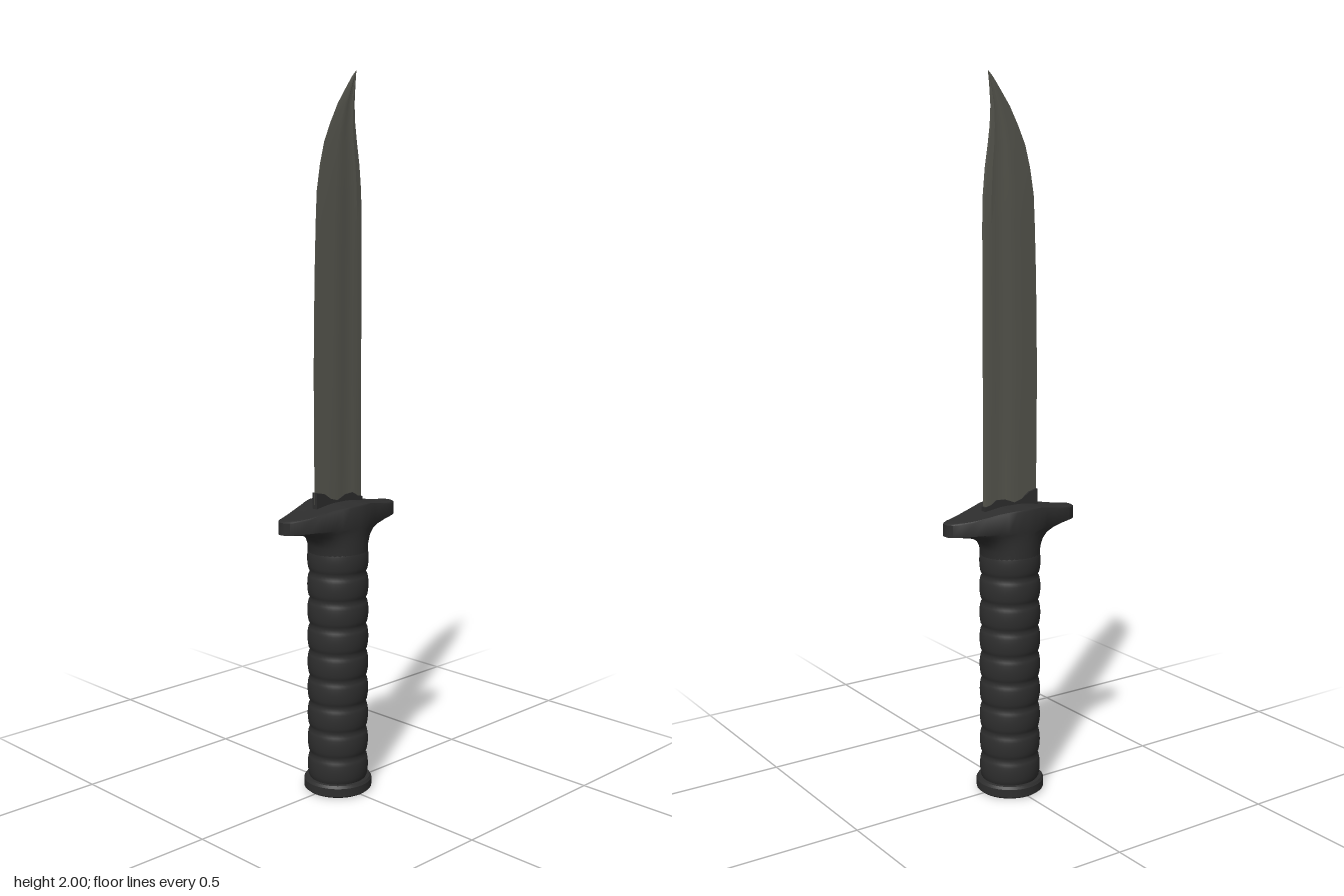
import * as THREE from 'three';
import { toCreasedNormals } from 'three/addons/utils/BufferGeometryUtils.js';

// Joins closed rings (ordered +x, +z, -x, -z, going upward) into a surface.
function loft(rings, crease) {
  const n = rings[0].length, index = [];
  for (let r = 0; r < rings.length - 1; r++) {
    for (let i = 0; i < n; i++) {
      const a = r * n + i, b = r * n + (i + 1) % n;
      index.push(a, a + n, b, b, a + n, b + n);
    }
  }
  const geo = new THREE.BufferGeometry();
  geo.setAttribute('position', new THREE.Float32BufferAttribute(rings.flat(2), 3));
  geo.setIndex(index);
  return toCreasedNormals(geo, crease);
}

// Smoothly ribbed grip, turned around y.
function gripGeometry() {
  const pts = [], ribs = 9, y0 = 0.03, y1 = 0.71;
  for (let i = 0; i <= ribs * 8; i++) {
    const t = i / (ribs * 8);
    const r = 0.078 + 0.008 * Math.sqrt(Math.abs(Math.sin(t * ribs * Math.PI)));
    pts.push(new THREE.Vector2(r, y0 + (y1 - y0) * t));
  }
  return new THREE.LatheGeometry(pts, 40);
}

function pommelGeometry() {
  const pts = [[0, 0], [0.09, 0], [0.096, 0.005], [0.096, 0.028], [0.091, 0.035], [0, 0.035]];
  const geo = new THREE.LatheGeometry(pts.map(p => new THREE.Vector2(...p)), 40);
  return toCreasedNormals(geo, 0.6);
}

// Guard: a round neck flaring into a long lozenge with a gently domed top.
function guardGeometry() {
  const quarter = [[0.086, 0], [0.083, 0.03], [0.076, 0.055], [0.066, 0.08], [0.056, 0.115],
    [0.045, 0.15], [0.034, 0.18], [0.023, 0.202], [0.012, 0.212], [0, 0.214]];
  const last = quarter.length - 1;
  const outline = [
    ...quarter,
    ...quarter.slice(0, last).reverse().map(([x, z]) => [-x, z]),
    ...quarter.slice(1).map(([x, z]) => [-x, -z]),
    ...quarter.slice(1, last).reverse().map(([x, z]) => [x, -z]),
  ];
  const n = outline.length;
  const topY = z => 0.808 + 0.024 * THREE.MathUtils.smoothstep(0.19 - Math.abs(z), 0, 0.17);
  // underside: [y, reach along z]
  const flare = [[0.69, 0.084], [0.715, 0.087], [0.735, 0.098], [0.75, 0.118], [0.76, 0.15],
    [0.766, 0.185], [0.77, 0.214]];
  const rings = flare.map(([y, reach]) => outline.map(([x, z], i) => {
    const b = (reach - 0.084) / 0.13, a = i / n * Math.PI * 2;
    return [
      THREE.MathUtils.lerp(0.084 * Math.cos(a), x, b), y,
      THREE.MathUtils.lerp(0.084 * Math.sin(a), z, b),
    ];
  }));
  for (const s of [1, 0.97, 0.8, 0.6, 0.4, 0.2, 0]) {
    const drop = s === 1 ? 0.004 : 0;
    rings.push(outline.map(([x, z]) => [x * s, topY(z * s) - drop, z * s]));
  }
  return loft(rings, 0.7);
}

// Clip-point blade with a shallow fuller; cutting edge towards +z.
function bladeGeometry() {
  // [y, edge z, spine z, half thickness]
  const stations = [[0.81, 0.089, -0.085, 0.008], [1.2, 0.091, -0.085, 0.008],
    [1.45, 0.087, -0.085, 0.008], [1.6, 0.082, -0.085, 0.008], [1.68, 0.078, -0.083, 0.008],
    [1.75, 0.066, -0.077, 0.007], [1.81, 0.05, -0.068, 0.006], [1.86, 0.027, -0.062, 0.005],
    [1.91, 0, -0.06, 0.004], [1.96, -0.036, -0.064, 0.003], [1.985, -0.055, -0.067, 0.002],
    [2, -0.07, -0.07, 0]];
  // [fraction from spine to edge, thickness factor]
  const side = [[0, 0.75], [0.12, 1], [0.2, 0.75], [0.38, 0.75], [0.46, 1], [0.62, 0.95], [1, 0.08]];
  const rings = stations.map(([y, e, s, h]) => {
    const half = side.map(([f, k]) => [h * k, y, s + (e - s) * f]);
    return [...half, ...half.slice().reverse().map(([x, yy, z]) => [-x, yy, z])];
  });
  return loft(rings, 0.25);
}

// Thin notched sleeve around the blade root.
function collarGeometry() {
  const shape = new THREE.Shape();
  [[-0.088, 0.81], [0.09, 0.81], [0.088, 0.868], [0.06, 0.862], [0.035, 0.845], [0.01, 0.838],
    [-0.02, 0.85], [-0.05, 0.852], [-0.07, 0.84], [-0.088, 0.836]]
    .forEach(([z, y], i) => (i ? shape.lineTo(-z, y) : shape.moveTo(-z, y)));
  const geo = new THREE.ExtrudeGeometry(shape, { depth: 0.018, bevelEnabled: false });
  geo.translate(0, 0, -0.009);
  geo.rotateY(Math.PI / 2);
  return geo;
}

export function createModel() {
  const rubber = new THREE.MeshStandardMaterial({ color: 0x2e2e2e });
  rubber.name = 'black rubber';
  const steel = new THREE.MeshStandardMaterial({ color: 0x57574f });
  steel.name = 'dark steel';

  const model = new THREE.Group();
  model.name = 'knife';
  const add = (name, geometry, material) => {
    const mesh = new THREE.Mesh(geometry, material);
    mesh.name = name;
    model.add(mesh);
  };
  add('pommel', pommelGeometry(), rubber);
  add('grip', gripGeometry(), rubber);
  add('guard', guardGeometry(), rubber);
  add('bladeCollar', collarGeometry(), rubber);
  add('blade', bladeGeometry(), steel);
  return model;
}
